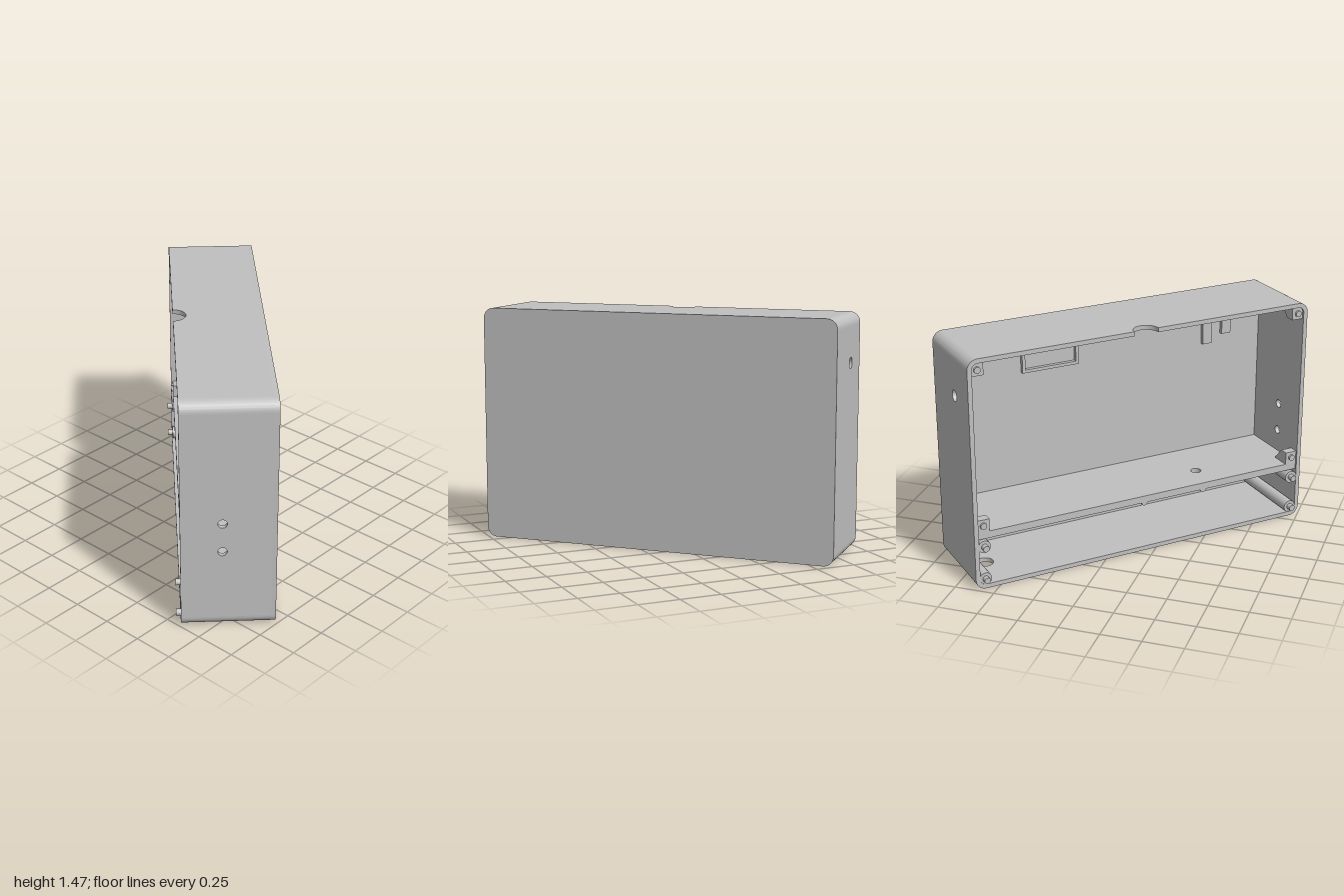
import * as THREE from 'three';
import { toCreasedNormals } from 'three/addons/utils/BufferGeometryUtils.js';

const L = 1.1385, D = 0.2755, H = 1.465; // half length, half depth, height
const T = 0.028, R = 0.065;              // wall thickness, corner radius
const SHELF = 0.37, SHELF_T = 0.045;

const rect = (x0, y0, x1, y1) => new THREE.Shape([
  new THREE.Vector2(x0, y0), new THREE.Vector2(x1, y0),
  new THREE.Vector2(x1, y1), new THREE.Vector2(x0, y1)]);

function drill(shape, x, y, r) {
  shape.holes.push(new THREE.Path().absarc(x, y, r, 0, Math.PI * 2, true));
  return shape;
}

const extrude = (shape, depth) => toCreasedNormals(
  new THREE.ExtrudeGeometry(shape, { depth, bevelEnabled: false, curveSegments: 16 }), 0.6);

// shape drawn in (z, y), extruded from x toward -x
const alongX = (shape, depth, x) => extrude(shape, depth).rotateY(-Math.PI / 2).translate(x, 0, 0);
// shape drawn in (x, z), extruded from y downward
const alongY = (shape, depth, y) => extrude(shape, depth).rotateX(Math.PI / 2).translate(0, y, 0);

export function createModel() {
  const grey = new THREE.MeshStandardMaterial({ color: 0xc0c0c0 });
  grey.name = 'grey plastic';
  const group = new THREE.Group();
  const box = new THREE.Group();
  box.name = 'enclosure';
  box.rotation.y = Math.PI / 4;
  group.add(box);

  const add = (name, geometry, x = 0, y = 0, z = 0) => {
    const mesh = new THREE.Mesh(geometry, grey);
    mesh.name = name;
    mesh.position.set(x, y, z);
    box.add(mesh);
  };
  const block = (name, w, h, d, x, y, z) => add(name, new THREE.BoxGeometry(w, h, d), x, y, z);
  const rod = (name, r, z0, z1, x, y) =>
    add(name, new THREE.CylinderGeometry(r, r, z1 - z0, 20).rotateX(Math.PI / 2), x, y, (z0 + z1) / 2);

  // closed front with rounded corners
  const front = new THREE.Shape();
  front.absarc(L - R, H - R, R, 0, Math.PI / 2);
  front.absarc(-L + R, H - R, R, Math.PI / 2, Math.PI);
  front.absarc(-L + R, R, R, Math.PI, Math.PI * 1.5);
  front.absarc(L - R, R, R, Math.PI * 1.5, Math.PI * 2);
  front.closePath();
  add('frontPanel', extrude(front, T), 0, 0, D - T);

  // rounded corner strips
  [[1, 1], [-1, 1], [-1, -1], [1, -1]].forEach(([sx, sy], i) => {
    const a = i * Math.PI / 2, b = a + Math.PI / 2;
    const ring = new THREE.Shape();
    ring.absarc(0, 0, R, a, b, false);
    ring.absarc(0, 0, R - T, b, a, true);
    ring.closePath();
    add('cornerStrip', extrude(ring, 2 * D - T), sx * (L - R), sy > 0 ? H - R : R, -D);
  });

  // end walls with cable holes
  const end = () => rect(-D, R, D - T, H - R);
  add('leftEndWall', alongX(drill(end(), -0.056, 1.175, 0.035), T, L));
  add('rightEndWall', alongX(
    drill(drill(end(), -0.035, 0.7, 0.027), -0.035, 0.515, 0.027), T, -L + T));

  // top wall with a half-round finger notch
  const top = new THREE.Shape();
  top.moveTo(-L + R, -D);
  top.lineTo(-0.08, -D);
  top.absarc(0, -D, 0.08, Math.PI, 0, true);
  top.lineTo(L - R, -D);
  top.lineTo(L - R, D - T);
  top.lineTo(-L + R, D - T);
  top.closePath();
  add('topWall', alongY(top, T, H));

  // bottom wall and dividing shelf
  add('bottomWall', alongY(drill(rect(-L + R, -D, L - R, D - T), 0.98, -0.013, 0.055), T, T));
  add('shelf', alongY(drill(
    rect(-L + T, -D + 0.012, L - T, D - T), -0.47, -0.08, 0.033), SHELF_T, SHELF));

  // tapered screw blocks, screw posts and nubs at both ends
  const wedge = (y0, y1) => new THREE.Shape([
    new THREE.Vector2(-D + 0.012, y0), new THREE.Vector2(-D + 0.14, y0),
    new THREE.Vector2(-D + 0.07, y1), new THREE.Vector2(-D + 0.012, y1)]);
  for (const s of [1, -1]) {
    const x = s * 1.075;
    add('topScrewBlock', alongX(wedge(H - T, H - T - 0.08), 0.08, x + 0.04));
    add('shelfScrewBlock', alongX(wedge(SHELF, SHELF + 0.08), 0.08, x + 0.04));
    for (const y of [H - T - 0.042, SHELF + 0.042])
      rod('blockNub', 0.02, -D, -D + 0.02, x, y);
    for (const y of [0.062, 0.275]) {
      rod('screwPost', 0.04, -D + 0.005, D - T, x, y);
      rod('postNub', 0.02, -D - 0.028, -D + 0.01, x, y);
    }
  }

  // small bosses under the shelf edge
  for (const x of [0, -0.42]) rod('shelfBoss', 0.02, -D + 0.012, -D + 0.07, x, SHELF - SHELF_T);

  // retaining frame and tabs inside the front panel
  const zi = D - T - 0.01;
  block('frameBottom', 0.38, 0.02, 0.03, 0.4, 1.13, zi);
  block('frameTop', 0.38, 0.02, 0.03, 0.4, 1.36, zi);
  for (const x of [0.22, 0.58]) block('frameSide', 0.02, 0.23, 0.03, x, 1.245, zi);
  block('longTab', 0.065, 0.25, 0.03, -0.71, 1.225, zi);
  block('shortTab', 0.065, 0.2, 0.03, -0.85, 1.25, zi);

  return group;
}
